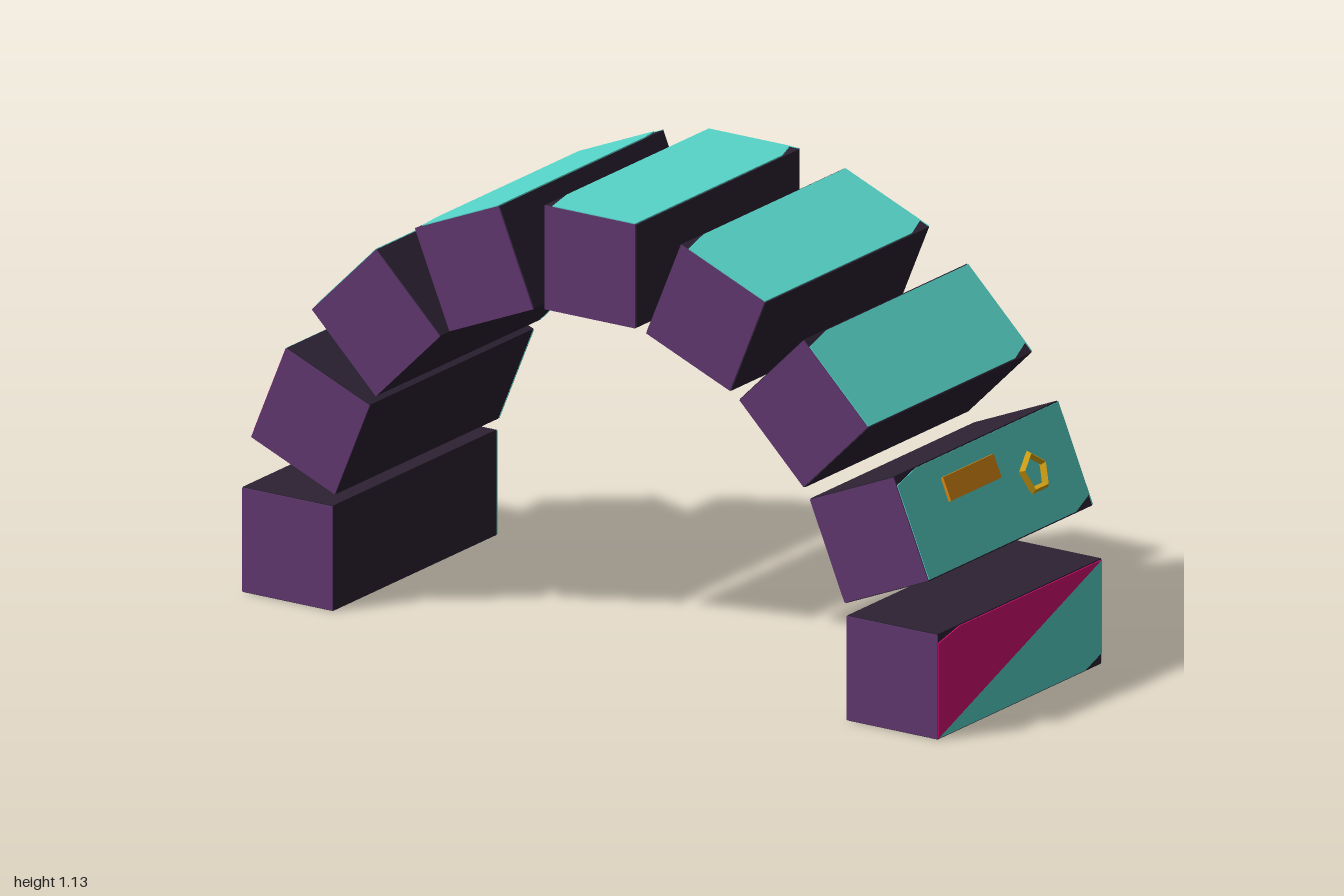
import * as THREE from 'three';

const material = (name, color) => new THREE.MeshStandardMaterial({ name, color });

export function createModel() {
  const dark = material('dark stone', 0x2c2233);
  const purple = material('purple front', 0x61386f);
  const teal = material('teal', 0x57d5c9);
  const pink = material('pink', 0xd60f74);
  const orange = material('orange', 0xdd8a12);
  const gold = material('gold', 0xd9a514);

  const S = 0.264, D = 0.7, R = 0.868, T = 0.003;
  const half = S / 2, h = D / 2 - 0.003, w = half - 0.003;

  const add = (parent, name, geometry, mat, x = 0, y = 0, z = 0) => {
    const mesh = new THREE.Mesh(geometry, mat);
    mesh.name = name;
    mesh.position.set(x, y, z);
    parent.add(mesh);
    return mesh;
  };

  // Outer panel outline with two chipped corners, lying on the local +x face
  const outline = [
    [-h, -w], [h - 0.07, -w], [h, -w + 0.025],
    [h, w], [-h + 0.09, w], [-h, w - 0.02],
  ].map(([u, t]) => new THREE.Vector2(u, t));
  const panel = (...indices) => new THREE.ExtrudeGeometry(
    new THREE.Shape(indices.map(i => outline[i])),
    { depth: T, bevelEnabled: false },
  ).rotateY(Math.PI / 2);
  const wholePanel = panel(0, 1, 2, 3, 4, 5);
  const lowerPanel = panel(0, 1, 2, 3);
  const upperPanel = panel(0, 3, 4, 5);

  const body = new THREE.BoxGeometry(S - 2 * T, S, D - 2 * T);
  const endPlate = new THREE.BoxGeometry(S - 0.004, S - 0.004, T);
  const bar = new THREE.BoxGeometry(0.009, 0.06, 0.215);
  const ring = new THREE.TorusGeometry(0.046, 0.01, 4, 5).toNonIndexed();
  ring.computeVertexNormals();
  ring.rotateZ(Math.PI / 10).rotateY(Math.PI / 2);
  const stud = new THREE.CylinderGeometry(0.026, 0.026, 0.008, 6).rotateX(Math.PI / 2);

  const arch = new THREE.Group();
  arch.name = 'arch';

  // Nine blocks in a half circle: local x points outward, local y along the arch
  for (let i = 0; i < 9; i++) {
    const angle = i * Math.PI / 8;
    const block = new THREE.Group();
    block.name = `archBlock${i + 1}`;
    block.position.set(R * Math.cos(angle), half + R * Math.sin(angle), 0);
    block.rotation.z = angle;
    arch.add(block);

    add(block, 'blockBody', body, dark);
    add(block, 'frontPlate', endPlate, purple, 0, 0, D / 2 - T / 2);
    add(block, 'backPlate', endPlate, teal, 0, 0, -D / 2 + T / 2);

    // Outer face, split along the diagonal on three of the blocks
    if (i === 0 || i >= 7) {
      add(block, 'outerPanelTeal', lowerPanel, teal, half - T);
      add(block, 'outerPanelPink', upperPanel, pink, half - T);
    } else {
      add(block, 'outerPanel', wholePanel, teal, half - T);
    }

    // Bar and faceted ring on the second block from each foot
    if (i === 1 || i === 7) {
      add(block, 'bar', bar, orange, half + 0.003, 0.052, 0.072);
      add(block, 'ring', ring, gold, half + 0.012, 0, -0.155);
    }
  }

  // Small studs on the backs of the diagonal blocks
  add(arch, 'leftStud', stud, orange, 0.655, 0.755, -D / 2 - 0.002);
  add(arch, 'rightStud', stud, orange, -0.603, 0.767, -D / 2 - 0.002);

  return arch;
}
